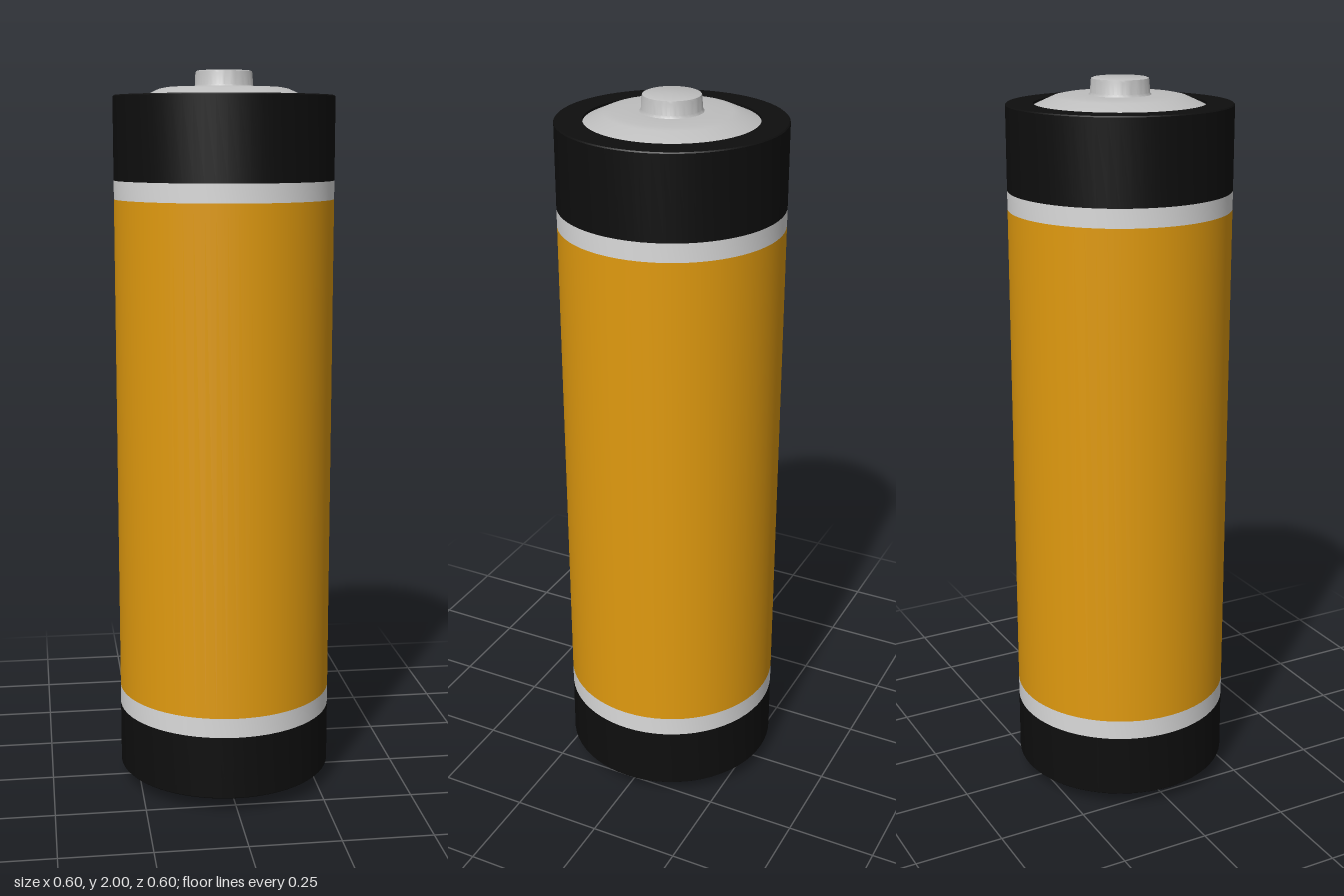
import * as THREE from 'three';
import { toCreasedNormals } from 'three/addons/utils/BufferGeometryUtils.js';

const SEGMENTS = 64;

function material(name, color) {
  const m = new THREE.MeshStandardMaterial({ color });
  m.name = name;
  return m;
}

export function createModel() {
  const orange = material('orange wrap', 0xe09a0f);
  const white = material('pale grey band', 0xdadada);
  const black = material('black sleeve', 0x0e0e0e);
  const metal = material('grey metal', 0xbebebe);

  const group = new THREE.Group();
  group.name = 'battery';

  // Revolves a profile of [radius, height] points, listed bottom to top
  function turned(name, mat, profile) {
    const points = profile.map(([r, y]) => new THREE.Vector2(r, y));
    const geometry = toCreasedNormals(new THREE.LatheGeometry(points, SEGMENTS), 0.6);
    const mesh = new THREE.Mesh(geometry, mat);
    mesh.name = name;
    group.add(mesh);
  }

  // Sleeve, one ring per colour, with lips turned in at both ends
  turned('bottomSleeve', black, [[0.17, 0.042], [0.297, 0.042], [0.3, 0.045], [0.3, 0.22]]);
  turned('lowerBand', white, [[0.3, 0.22], [0.3, 0.275]]);
  turned('bodyWrap', orange, [[0.3, 0.275], [0.3, 1.66]]);
  turned('upperBand', white, [[0.3, 1.66], [0.3, 1.71]]);
  turned('topSleeve', black, [[0.3, 1.71], [0.3, 1.932], [0.297, 1.935], [0.227, 1.935], [0.227, 1.92]]);

  // Negative contact: shallow dish below the sleeve
  turned('bottomTerminal', metal, [[0, 0], [0.16, 0], [0.168, 0.003], [0.2, 0.033], [0.204, 0.045]]);

  // Positive contact: sloped plate with a small button
  turned('topPlate', metal, [[0.228, 1.928], [0.175, 1.952], [0.155, 1.956], [0.085, 1.956], [0.07, 1.956]]);
  turned('topButton', metal, [[0.083, 1.955], [0.078, 1.962], [0.077, 1.992], [0.075, 1.998], [0.07, 2], [0, 2]]);

  return group;
}
